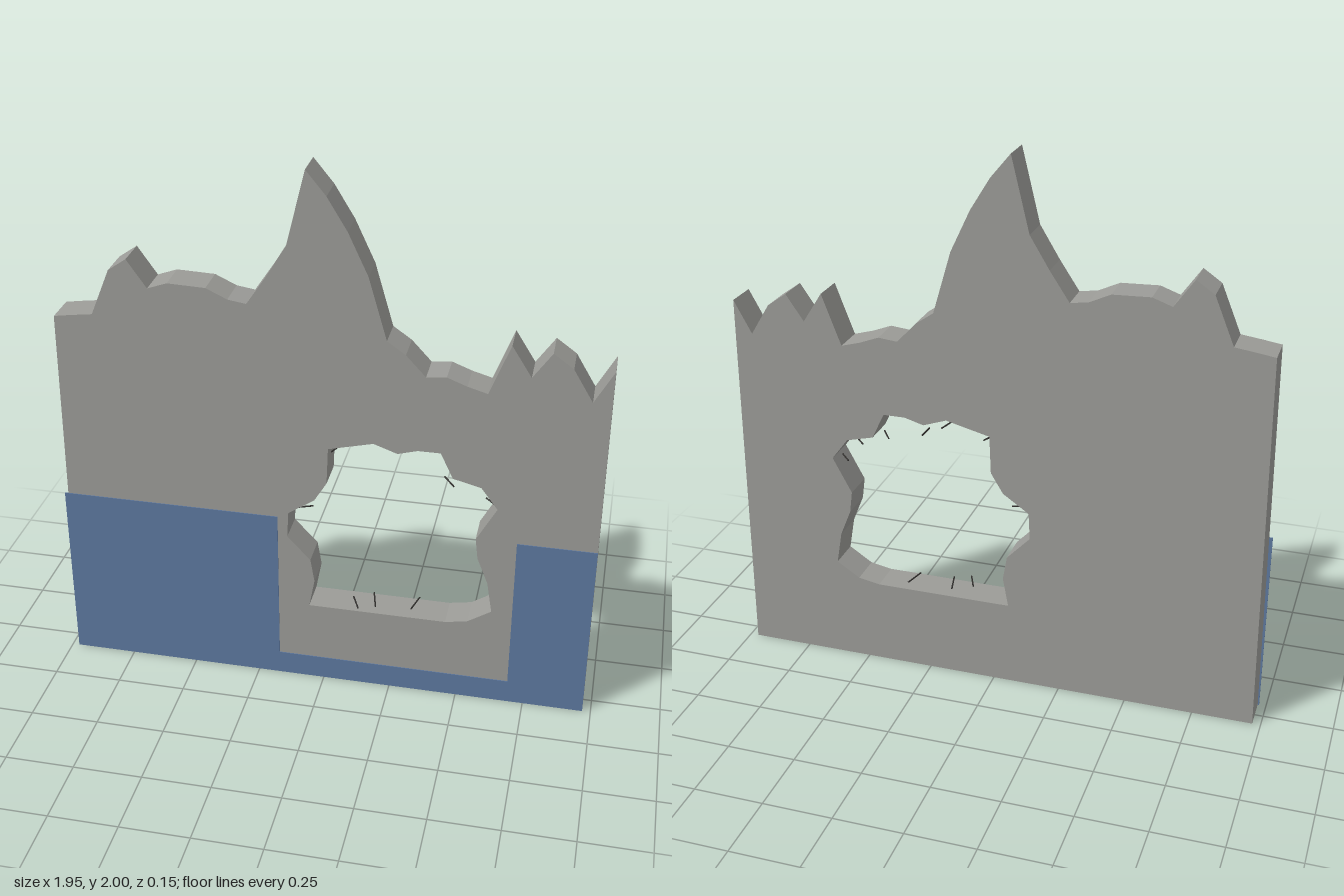
import * as THREE from 'three';

const concrete = new THREE.MeshStandardMaterial({ color: 0x9b9b97 });
concrete.name = 'concrete grey';
const paint = new THREE.MeshStandardMaterial({ color: 0x5d789f });
paint.name = 'faded blue paint';
const steel = new THREE.MeshStandardMaterial({ color: 0x33312f });
steel.name = 'dark steel';

const BACK = -0.057, FRONT = 0.066;
const points = (list) => list.map(([x, y]) => new THREE.Vector2(x, y));

// Extrude a flat outline between two depths
function slab(name, shape, z0, z1, material) {
  const geometry = new THREE.ExtrudeGeometry(shape, { depth: z1 - z0, bevelEnabled: false });
  geometry.translate(0, 0, z0);
  const mesh = new THREE.Mesh(geometry, material);
  mesh.name = name;
  return mesh;
}

// Thin bent bar left in the broken opening
function bar(a, b) {
  const from = new THREE.Vector3(...a), to = new THREE.Vector3(...b);
  const mesh = new THREE.Mesh(new THREE.CylinderGeometry(0.003, 0.003, from.distanceTo(to), 5), steel);
  mesh.position.copy(from).add(to).multiplyScalar(0.5);
  mesh.quaternion.setFromUnitVectors(new THREE.Vector3(0, 1, 0), to.sub(from).normalize());
  mesh.name = 'reinforcingBar';
  return mesh;
}

export function createModel() {
  const group = new THREE.Group();
  group.name = 'ruinedWall';

  // Broken top edge, left to right, closed by the straight base
  const wall = new THREE.Shape(points([
    [0.97, 0], [0.97, 1.39], [0.905, 1.27], [0.835, 1.385], [0.765, 1.435], [0.7, 1.34],
    [0.63, 1.45], [0.56, 1.265], [0.49, 1.285], [0.42, 1.312], [0.35, 1.305], [0.28, 1.38],
    [0.215, 1.425], [0.15, 1.65], [0.08, 1.8], [0.01, 1.915], [-0.06, 2], [-0.125, 1.735],
    [-0.195, 1.62], [-0.265, 1.515], [-0.33, 1.525], [-0.405, 1.56], [-0.54, 1.565],
    [-0.61, 1.54], [-0.68, 1.64], [-0.745, 1.595], [-0.815, 1.425], [-0.89, 1.415],
    [-0.955, 1.405], [-0.97, 0],
  ]));

  // Ragged window opening
  wall.holes.push(new THREE.Path(points([
    [-0.055, 0.32], [-0.035, 0.43], [-0.05, 0.52], [-0.135, 0.61], [-0.13, 0.71],
    [-0.035, 0.775], [0.01, 0.85], [0.015, 0.99], [0.175, 1.03], [0.26, 1.0], [0.33, 1.02],
    [0.41, 1.02], [0.455, 0.925], [0.555, 0.9], [0.615, 0.82], [0.545, 0.69], [0.555, 0.61],
    [0.595, 0.51], [0.615, 0.39], [0.53, 0.335], [0.45, 0.32],
  ])));
  group.add(slab('wall', wall, BACK, FRONT, concrete));

  // Painted dado around the opening
  const dado = new THREE.Shape(points([
    [-0.975, 0], [0.97, 0], [0.97, 0.69], [0.69, 0.69],
    [0.69, 0.09], [-0.17, 0.09], [-0.17, 0.69], [-0.975, 0.69],
  ]));
  group.add(slab('paintedDado', dado, FRONT, FRONT + 0.003, paint));

  // Reinforcing bars: start and end of each
  const bars = new THREE.Group();
  bars.name = 'reinforcingBars';
  [
    [[0.13, 0.34, 0.075], [0.1, 0.34, 0.005]],
    [[0.19, 0.34, 0.05], [0.17, 0.34, -0.035]],
    [[0.32, 0.34, 0.04], [0.34, 0.34, -0.04]],
    [[-0.13, 0.705, 0.02], [-0.055, 0.705, -0.01]],
    [[0.02, 0.96, 0.03], [0.045, 0.96, -0.03]],
    [[0.175, 1.0, 0.0], [0.19, 1.0, -0.06]],
    [[0.255, 0.97, -0.01], [0.258, 0.97, -0.075]],
    [[0.46, 0.897, 0.07], [0.42, 0.897, 0.01]],
    [[0.55, 0.88, 0.02], [0.505, 0.88, -0.03]],
    [[0.61, 0.805, 0.02], [0.565, 0.805, -0.03]],
  ].forEach(([a, b]) => bars.add(bar(a, b)));
  group.add(bars);
  return group;
}
